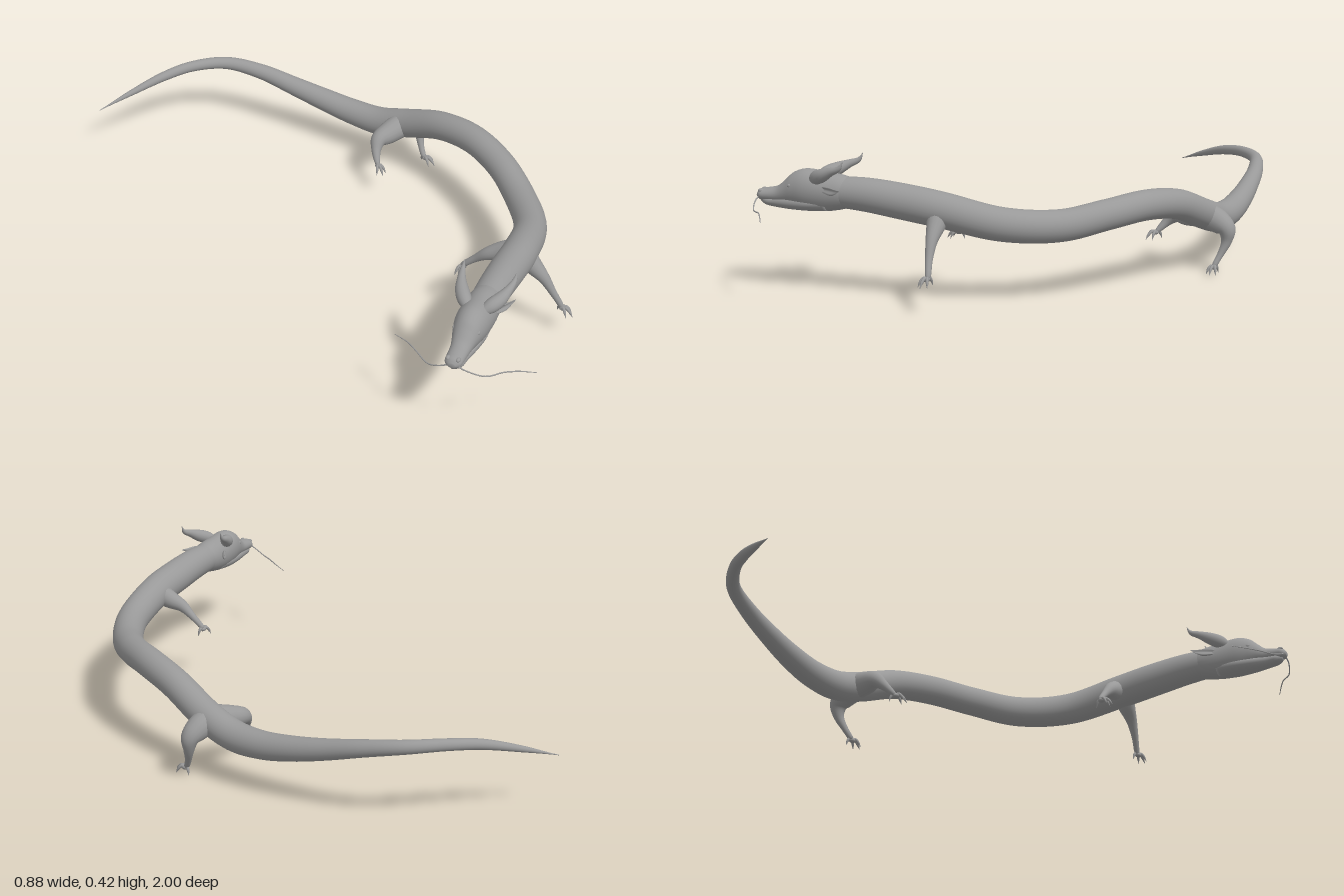
import * as THREE from 'three';

const grey = new THREE.MeshStandardMaterial({ color: 0x999999 });

// Skin a list of rings (arrays of Vector3), with closed ends.
function skin(name, rings) {
  const n = rings[0].length, pos = [], idx = [];
  rings.forEach(ring => ring.forEach(p => pos.push(p.x, p.y, p.z)));
  const centre = ring => {
    const c = new THREE.Vector3();
    ring.forEach(p => c.addScaledVector(p, 1 / n));
    pos.push(c.x, c.y, c.z);
    return pos.length / 3 - 1;
  };
  for (let i = 0; i < rings.length - 1; i++) {
    for (let j = 0; j < n; j++) {
      const a = i * n + j, b = i * n + (j + 1) % n;
      idx.push(a, b, a + n, b, b + n, a + n);
    }
  }
  const c0 = centre(rings[0]), c1 = centre(rings[rings.length - 1]);
  const last = (rings.length - 1) * n;
  for (let j = 0; j < n; j++) {
    const k = (j + 1) % n;
    idx.push(c0, k, j, c1, last + j, last + k);
  }
  const g = new THREE.BufferGeometry();
  g.setAttribute('position', new THREE.Float32BufferAttribute(pos, 3));
  g.setIndex(idx);
  g.computeVertexNormals();
  const mesh = new THREE.Mesh(g, grey);
  mesh.name = name;
  return mesh;
}

// Smoothly interpolate one column of a table of stations.
function smooth(rows, col, t) {
  const f = t * (rows.length - 1), i = Math.min(Math.floor(f), rows.length - 2), u = f - i;
  const at = k => rows[Math.max(0, Math.min(rows.length - 1, k))][col];
  const m0 = (at(i + 1) - at(i - 1)) / 2, m1 = (at(i + 2) - at(i)) / 2;
  const u2 = u * u, u3 = u2 * u;
  return (2 * u3 - 3 * u2 + 1) * at(i) + (u3 - 2 * u2 + u) * m0 + (3 * u2 - 2 * u3) * at(i + 1) + (u3 - u2) * m1;
}

// Tapered round tube through stations [x, y, z, radius].
function limb(name, rows, steps = 28, sides = 16) {
  const curve = new THREE.CatmullRomCurve3(rows.map(r => new THREE.Vector3(r[0], r[1], r[2])));
  const frames = curve.computeFrenetFrames(steps, false);
  const rings = [];
  for (let i = 0; i <= steps; i++) {
    const t = curve.getUtoTmapping(i / steps), c = curve.getPoint(t);
    const r = Math.max(0.0004, smooth(rows, 3, t));
    rings.push(Array.from({ length: sides }, (_, j) => {
      const a = j / sides * Math.PI * 2;
      return c.clone().addScaledVector(frames.normals[i], r * Math.cos(a))
        .addScaledVector(frames.binormals[i], r * Math.sin(a));
    }));
  }
  return skin(name, rings);
}

// Solid along z through stations [z, bottom, top, halfWidth].
function loft(name, rows, steps = 40, sides = 28) {
  const rings = [];
  for (let i = 0; i <= steps; i++) {
    const [z, lo, hi, w] = [0, 1, 2, 3].map(k => smooth(rows, k, i / steps));
    rings.push(Array.from({ length: sides }, (_, j) => {
      const a = j / sides * Math.PI * 2;
      return new THREE.Vector3(w * Math.cos(a), (lo + hi) / 2 + (hi - lo) / 2 * Math.sin(a), z);
    }));
  }
  return skin(name, rings);
}

function ball(name, x, y, z, sx, sy, sz) {
  const m = new THREE.Mesh(new THREE.SphereGeometry(1, 16, 12), grey);
  m.position.set(x, y, z);
  m.scale.set(sx, sy, sz);
  m.name = name;
  return m;
}

// Foot with three splayed clawed toes and one rear toe.
function foot(name, x, y, z, heading) {
  const g = new THREE.Group();
  g.name = name;
  g.position.set(x, y, z);
  g.rotation.y = heading;
  g.add(ball('palm', 0, -0.003, 0.004, 0.010, 0.008, 0.013));
  [[-0.55, 0.031], [0, 0.04], [0.55, 0.031], [2.8, 0.019]].forEach(([a, len]) => {
    const s = Math.sin(a) * len, c = Math.cos(a) * len;
    g.add(limb('toe', [
      [0, -0.003, 0, 0.006], [s * 0.4, 0.001, c * 0.4, 0.005],
      [s * 0.75, -0.009, c * 0.75, 0.0042], [s, -0.024, c, 0.0005]], 10, 8));
  });
  return g;
}

function makeHead() {
  const head = new THREE.Group();
  head.name = 'head';
  head.position.set(-0.22, 0, 0.76);
  head.rotation.y = -1.03;
  // skull with upper jaw
  head.add(loft('skull', [
    [-0.10, 0.275, 0.36, 0.043], [-0.06, 0.264, 0.37, 0.05], [-0.01, 0.257, 0.376, 0.052],
    [0.05, 0.26, 0.383, 0.05], [0.09, 0.268, 0.371, 0.042], [0.115, 0.273, 0.35, 0.035],
    [0.143, 0.276, 0.327, 0.029], [0.175, 0.278, 0.319, 0.027], [0.2, 0.28, 0.315, 0.024],
    [0.212, 0.289, 0.302, 0.01]]));
  head.add(loft('lowerJaw', [
    [-0.02, 0.258, 0.31, 0.04], [0.04, 0.255, 0.306, 0.043], [0.1, 0.256, 0.302, 0.035],
    [0.15, 0.26, 0.298, 0.026], [0.18, 0.265, 0.296, 0.023], [0.2, 0.275, 0.291, 0.009]], 24, 20));
  for (const s of [1, -1]) {
    head.add(limb('horn', [
      [s * 0.018, 0.352, 0.025, 0.013], [s * 0.04, 0.365, 0.002, 0.021], [s * 0.058, 0.376, -0.024, 0.02],
      [s * 0.071, 0.39, -0.055, 0.013], [s * 0.078, 0.403, -0.085, 0.0075], [s * 0.079, 0.424, -0.098, 0.0008]], 28));
    // leaf-shaped ear, hollowed on its outer face
    const ear = loft('ear', [
      [0, -0.008, 0.006, 0.007], [0.02, -0.012, 0.009, 0.008], [0.045, -0.015, 0.009, 0.007],
      [0.065, -0.008, 0.006, 0.004], [0.085, 0.003, 0.005, 0.0006]], 18, 16);
    const p = ear.geometry.attributes.position;
    for (let i = 0; i < p.count; i++) {
      const hollow = Math.max(0, 1 - Math.abs(p.getY(i)) / 0.012);
      if (p.getX(i) * s < 0) p.setX(i, p.getX(i) * (1 - 1.3 * hollow));
    }
    ear.geometry.computeVertexNormals();
    ear.position.set(s * 0.044, 0.332, -0.012);
    ear.rotation.y = Math.PI - s * 0.5;
    head.add(ear);
    head.add(ball('eye', s * 0.037, 0.334, 0.092, 0.004, 0.006, 0.008));
    head.add(ball('nostril', s * 0.015, 0.31, 0.196, 0.007, 0.006, 0.009));
  }
  return head;
}

export function createModel() {
  const model = new THREE.Group();
  model.name = 'serpentDragon';

  // one long body from neck to tail tip
  model.add(limb('body', [
    [-0.2, 0.318, 0.748, 0.046], [-0.1, 0.314, 0.69, 0.051], [0, 0.3, 0.63, 0.054],
    [0.1, 0.282, 0.568, 0.054], [0.24, 0.243, 0.45, 0.051], [0.325, 0.231, 0.3, 0.049],
    [0.37, 0.25, 0.15, 0.047], [0.382, 0.26, 0, 0.047], [0.367, 0.24, -0.15, 0.047],
    [0.335, 0.184, -0.3, 0.048], [0.3, 0.153, -0.4, 0.047], [0.261, 0.152, -0.5, 0.043],
    [0.213, 0.168, -0.6, 0.038], [0.158, 0.192, -0.7, 0.032], [0.093, 0.222, -0.805, 0.026],
    [0.01, 0.243, -0.895, 0.021], [-0.1, 0.247, -0.942, 0.018], [-0.2, 0.236, -0.961, 0.016],
    [-0.32, 0.206, -0.98, 0.01], [-0.44, 0.17, -0.999, 0.001]], 180, 28));
  model.add(makeHead());

  // legs, each walking in its own pose
  model.add(limb('leftFrontLeg', [
    [0.1, 0.285, 0.57, 0.036], [0.12, 0.245, 0.602, 0.029], [0.14, 0.205, 0.636, 0.018],
    [0.157, 0.158, 0.66, 0.0115], [0.174, 0.115, 0.678, 0.009], [0.177, 0.104, 0.682, 0.007]]));
  model.add(foot('leftFrontFoot', 0.176, 0.108, 0.682, 0.3));
  model.add(limb('rightFrontLeg', [
    [0.1, 0.28, 0.555, 0.036], [0.072, 0.262, 0.512, 0.029], [0.046, 0.246, 0.482, 0.02],
    [0.026, 0.218, 0.45, 0.012], [0.006, 0.187, 0.42, 0.009], [0.003, 0.18, 0.414, 0.007]]));
  model.add(foot('rightFrontFoot', 0.003, 0.181, 0.416, -1));
  model.add(limb('leftHindLeg', [
    [0.33, 0.18, -0.31, 0.042], [0.378, 0.162, -0.324, 0.038], [0.408, 0.139, -0.331, 0.029],
    [0.411, 0.102, -0.327, 0.017], [0.404, 0.062, -0.308, 0.0105], [0.4, 0.035, -0.29, 0.009],
    [0.4, 0.027, -0.284, 0.007]]));
  model.add(foot('leftHindFoot', 0.401, 0.029, -0.284, 0.35));
  model.add(limb('rightHindLeg', [
    [0.33, 0.18, -0.31, 0.042], [0.265, 0.17, -0.306, 0.037], [0.219, 0.163, -0.3, 0.027],
    [0.197, 0.142, -0.284, 0.0165], [0.183, 0.118, -0.262, 0.0105], [0.178, 0.107, -0.25, 0.007]]));
  model.add(foot('rightHindFoot', 0.178, 0.109, -0.25, -0.2));

  // long wavy whiskers from the snout
  model.add(limb('leftWhisker', [
    [-0.39, 0.295, 0.87, 0.0025], [-0.372, 0.283, 0.9, 0.002], [-0.33, 0.266, 0.935, 0.002],
    [-0.28, 0.267, 0.952, 0.002], [-0.24, 0.266, 0.975, 0.0018], [-0.2, 0.258, 1, 0.001]], 36, 8));
  model.add(limb('rightWhisker', [
    [-0.398, 0.295, 0.858, 0.0025], [-0.412, 0.283, 0.84, 0.002], [-0.425, 0.266, 0.795, 0.002],
    [-0.42, 0.267, 0.74, 0.002], [-0.414, 0.266, 0.69, 0.0018], [-0.416, 0.258, 0.63, 0.001]], 36, 8));
  return model;
}
